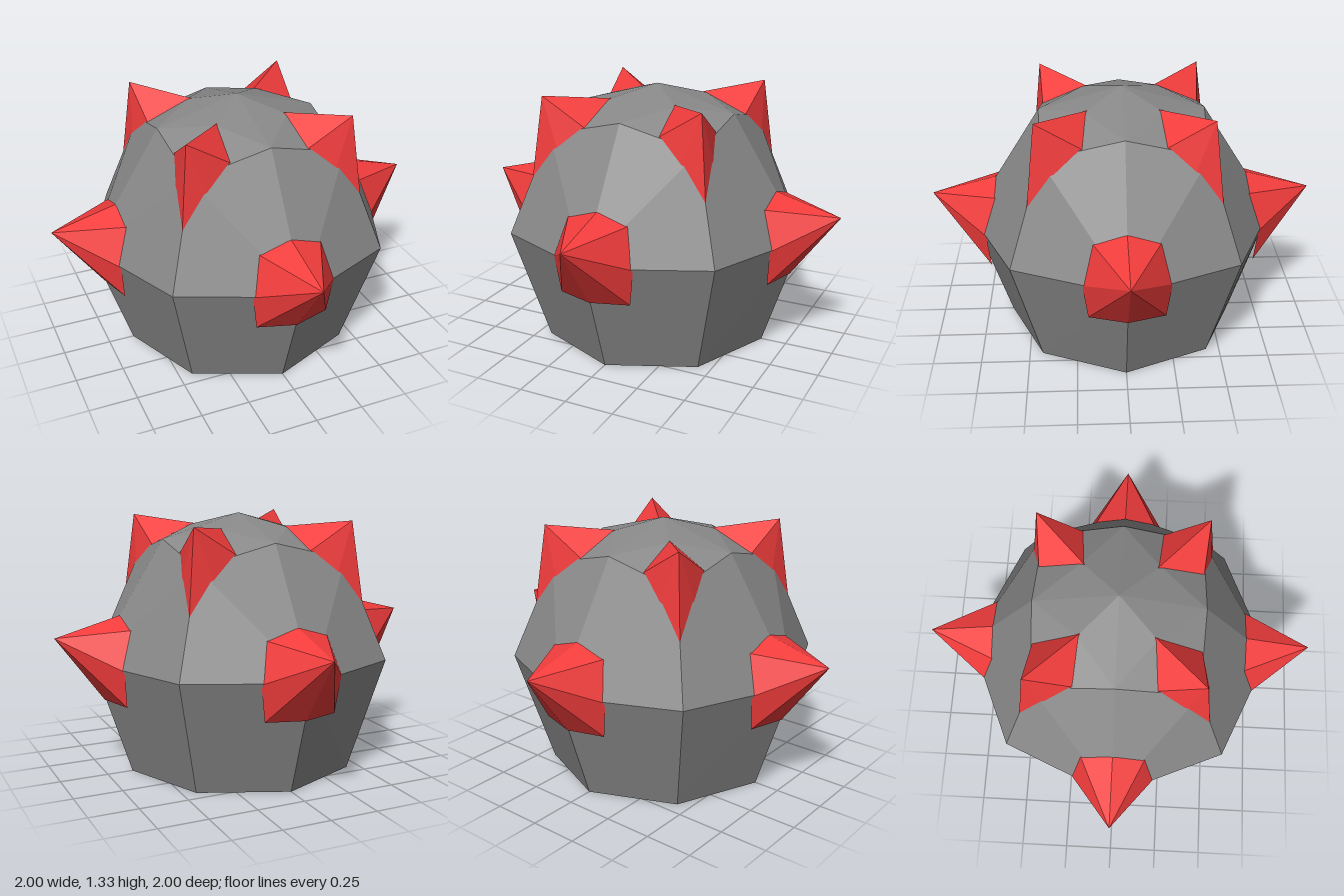
import * as THREE from 'three';
import { ConvexGeometry } from 'three/addons/geometries/ConvexGeometry.js';

const V = (x, y, z) => new THREE.Vector3(x, y, z);

// Open pyramid: fan from the tip through a ring, sunk a little into the body
function spikeGeometry(tip, ring) {
  const sunk = ring.map(p => p.clone().sub(tip).multiplyScalar(1.05).add(tip));
  const points = [];
  sunk.forEach((p, i) => points.push(tip, p, sunk[(i + 1) % sunk.length]));
  const geometry = new THREE.BufferGeometry().setFromPoints(points);
  geometry.computeVertexNormals();
  return geometry;
}

export function createModel() {
  const model = new THREE.Group();
  const grey = new THREE.MeshStandardMaterial({ color: 0xcccccc, flatShading: true });
  grey.color.set(0x888888);
  const red = new THREE.MeshStandardMaterial({ color: 0xf23c3c, flatShading: true, side: THREE.DoubleSide });

  // Faceted dome: [radius, height] at the four sides and at the four diagonals
  const sides = [[0.615, 0], [0.81, 0.6], [0.425, 1.21]];
  const diagonals = [[0.61, 0], [0.8, 0.6], [0.575, 1.11], [0.27, 1.262]];
  const points = [V(0, 1.33, 0)];
  for (let i = 0; i < 8; i++) {
    const a = i * Math.PI / 4;
    for (const [r, y] of i % 2 ? diagonals : sides) points.push(V(r * Math.sin(a), y, r * Math.cos(a)));
  }
  const body = new THREE.Mesh(new ConvexGeometry(points), grey);
  body.name = 'body';
  model.add(body);

  // Spikes facing +z, and spikes on the +x +z diagonal
  const sideSpike = spikeGeometry(V(0, 0.745, 1), [
    V(0, 0.83, 0.68), V(-0.16, 0.785, 0.66), V(-0.205, 0.6, 0.725), V(-0.18, 0.42, 0.71),
    V(0, 0.42, 0.765), V(0.18, 0.42, 0.71), V(0.205, 0.6, 0.725), V(0.16, 0.785, 0.66),
  ]);
  const upperSpike = spikeGeometry(V(0.43, 1.305, 0.43), [
    V(0.185, 1.268, 0.185), V(0.2, 1.16, 0.41), V(0.32, 1.0, 0.46),
    V(0.475, 0.89, 0.475), V(0.46, 1.0, 0.32), V(0.41, 1.16, 0.2),
  ]);
  for (let i = 0; i < 4; i++) {
    for (const [name, geometry] of [['sideSpike', sideSpike], ['upperSpike', upperSpike]]) {
      const spike = new THREE.Mesh(geometry, red);
      spike.name = name + (i + 1);
      spike.rotation.y = i * Math.PI / 2;
      model.add(spike);
    }
  }
  return model;
}
